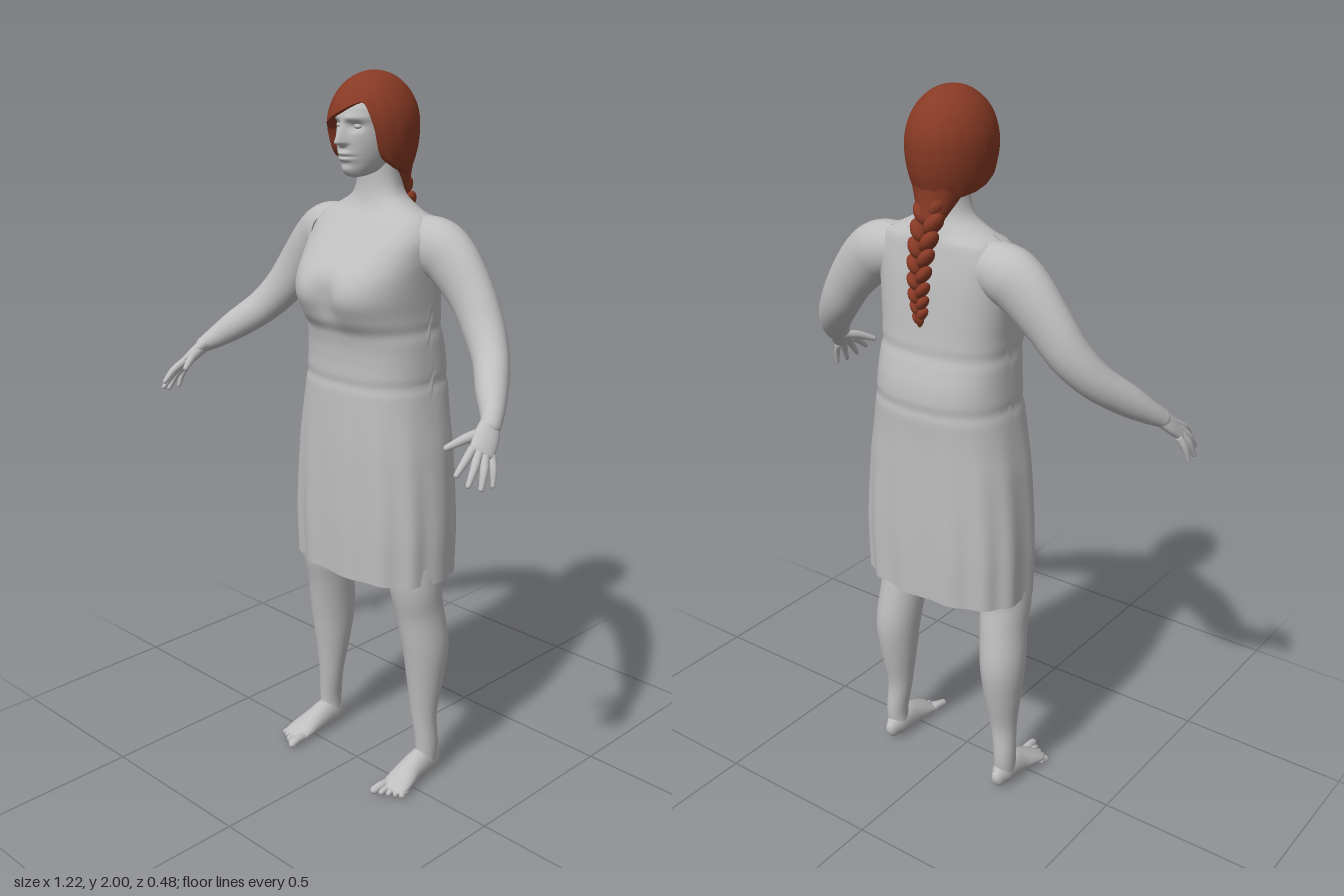
import * as THREE from 'three';

const grey = new THREE.MeshStandardMaterial({ color: 0xbebebe, side: THREE.DoubleSide });
grey.name = 'plain grey';
const auburn = new THREE.MeshStandardMaterial({ color: 0x883a25, side: THREE.DoubleSide });
auburn.name = 'auburn hair';

const bell = (d, w) => Math.exp(-(d * d) / (w * w));
const spow = (v, e) => Math.sign(v) * Math.pow(Math.abs(v), e);

function add(parent, name, geometry, material = grey) {
  const mesh = new THREE.Mesh(geometry, material);
  mesh.name = name;
  parent.add(mesh);
  return mesh;
}

// Smooth interpolation of keys [x, v1, v2, ...]
function sample(keys, x) {
  const n = keys.length;
  x = Math.min(Math.max(x, keys[0][0]), keys[n - 1][0]);
  let i = 0;
  while (i < n - 2 && x > keys[i + 1][0]) i++;
  const p = keys[Math.max(i - 1, 0)], a = keys[i], b = keys[i + 1], q = keys[Math.min(i + 2, n - 1)];
  const h = b[0] - a[0], t = (x - a[0]) / h, t2 = t * t, t3 = t2 * t;
  return a.slice(1).map((av, k) => {
    const bv = b[k + 1];
    const ma = ((bv - p[k + 1]) / (b[0] - p[0])) * h, mb = ((q[k + 1] - av) / (q[0] - a[0])) * h;
    return av * (2 * t3 - 3 * t2 + 1) + ma * (t3 - 2 * t2 + t) + bv * (3 * t2 - 2 * t3) + mb * (t3 - t2);
  });
}

// Closed rings of points joined into a smooth skin; fn(row 0..1, angle) gives [x, y, z]
function skin(fn, rows, segs) {
  const pos = [], idx = [];
  for (let i = 0; i <= rows; i++)
    for (let j = 0; j < segs; j++) pos.push(...fn(i / rows, (j / segs) * Math.PI * 2, i));
  for (let i = 0; i < rows; i++)
    for (let j = 0; j < segs; j++) {
      const k = (j + 1) % segs, a = i * segs + j, b = i * segs + k;
      idx.push(a, b, b + segs, a, b + segs, a + segs);
    }
  const g = new THREE.BufferGeometry();
  g.setAttribute('position', new THREE.Float32BufferAttribute(pos, 3));
  g.setIndex(idx);
  g.computeVertexNormals();
  return g;
}

// Round-ended limb through points [x, y, z, radius along ref, radius across]; side mirrors x
function limb(points, side = 1, ref = [0, 0, 1], steps = 24, segs = 24) {
  const path = new THREE.CatmullRomCurve3(points.map(p => new THREE.Vector3(p[0] * side, p[1], p[2])), false, 'catmullrom');
  const radii = new THREE.CatmullRomCurve3(points.map(p => new THREE.Vector3(p[3], p[4] ?? p[3], 0)), false, 'catmullrom');
  const axis = new THREE.Vector3(ref[0] * side, ref[1], ref[2]);
  const caps = 5, rows = steps + caps * 2;
  const rings = [];
  for (let i = 0; i <= rows; i++) {
    const t = Math.min(Math.max((i - caps) / steps, 0), 1);
    const over = i < caps ? i / caps - 1 : i > rows - caps ? (i - rows + caps) / caps : 0;
    const angle = over * Math.PI / 2, r = radii.getPoint(t), T = path.getTangent(t);
    const N = axis.clone().addScaledVector(T, -axis.dot(T)).normalize();
    const B = new THREE.Vector3().crossVectors(T, N);
    const c = path.getPoint(t).addScaledVector(T, Math.sin(angle) * Math.min(r.x, r.y));
    rings.push({ c, N: N.multiplyScalar(r.x * Math.cos(angle)), B: B.multiplyScalar(r.y * Math.cos(angle)) });
  }
  return skin((u, a, i) => {
    const { c, N, B } = rings[i];
    const p = c.clone().addScaledVector(N, Math.cos(a)).addScaledVector(B, Math.sin(a));
    return [p.x, Math.max(p.y, 0), p.z];
  }, rows, segs);
}

// Torso profile: y, half width, front z, back z
const TORSO = [
  [0.635, 0.243, 0.083, -0.228], [0.8, 0.243, 0.088, -0.233], [1.0, 0.227, 0.087, -0.233],
  [1.1, 0.211, 0.084, -0.233], [1.2, 0.195, 0.08, -0.236], [1.26, 0.19, 0.078, -0.23],
  [1.32, 0.186, 0.085, -0.214], [1.38, 0.183, 0.118, -0.204], [1.43, 0.186, 0.14, -0.199],
  [1.48, 0.19, 0.128, -0.194], [1.54, 0.196, 0.08, -0.187], [1.59, 0.197, 0.035, -0.178],
  [1.63, 0.172, 0.0, -0.171], [1.655, 0.125, -0.018, -0.163], [1.68, 0.082, -0.027, -0.154],
  [1.72, 0.063, -0.032, -0.145], [1.79, 0.06, -0.03, -0.14]];

function torsoPoint(y, a, grow = 0) {
  const [rx, zf, zb] = sample(TORSO, y);
  const e = y > 1.64 ? 1 : 0.82, s = spow(Math.sin(a), e), c = spow(Math.cos(a), e), mid = -0.08;
  // skirt folds and waist creases
  const skirt = Math.min(Math.max((1.15 - y) / 0.4, 0), 1);
  const g = grow + (grow ? skirt * 0.004 * Math.sin(a * 13) - 0.004 * (bell(y - 1.195, 0.012) + bell(y - 1.34, 0.015)) : 0);
  const x = (rx + g) * s;
  let z = mid + c * ((c > 0 ? zf - mid : mid - zb) + g);
  if (c > 0) z -= 0.026 * bell(x, 0.045) * bell(y - 1.43, 0.06);
  return [x, y, z];
}

// Head profile: y, half width, front z, back z
const HEAD = [
  [1.733, 0.002, 0.01, 0.006], [1.738, 0.024, 0.029, -0.03], [1.752, 0.042, 0.038, -0.08],
  [1.775, 0.057, 0.044, -0.12], [1.8, 0.067, 0.05, -0.15], [1.83, 0.074, 0.052, -0.165],
  [1.87, 0.079, 0.05, -0.17], [1.895, 0.08, 0.052, -0.17], [1.92, 0.076, 0.041, -0.165],
  [1.955, 0.055, 0.005, -0.13], [1.975, 0.002, -0.06, -0.065]];

function headPoint(u, a) {
  const y = 1.733 + 0.242 * u, [rx, zf, zb] = sample(HEAD, y), mid = (zf + zb) / 2;
  const x = rx * Math.sin(a), c = Math.cos(a);
  let z = mid + c * (zf - zb) / 2;
  if (c > 0) {
    const ax = Math.abs(x);
    const ramp = y > 1.825 ? Math.max(0, 1 - (y - 1.825) / 0.06) : Math.max(0, 1 - (1.825 - y) / 0.013);
    z += 0.03 * ramp * bell(x, 0.008 + 0.006 * ramp);                              // nose
    z -= 0.012 * bell(ax - 0.032, 0.016) * bell(y - 1.866, 0.012);                 // eye sockets
    z += 0.006 * bell(ax - 0.03, 0.03) * bell(y - 1.886, 0.009);                   // brow
    z += 0.009 * bell(x, 0.022) * (bell(y - 1.797, 0.006) + bell(y - 1.783, 0.007)); // lips
    z -= 0.005 * bell(x, 0.025) * bell(y - 1.79, 0.003);
    z += 0.006 * bell(x, 0.02) * bell(y - 1.755, 0.012);                           // chin
  }
  return [x, y, z];
}

// Lower edge of the hair by angle in degrees, 0 at the front
const HAIRLINE = [[-180, 1.725], [-110, 1.745], [-75, 1.77], [-58, 1.80], [-50, 1.85], [-30, 1.872],
  [0, 1.9], [25, 1.922], [38, 1.92], [50, 1.865], [58, 1.80], [75, 1.77], [110, 1.745], [180, 1.725]];

function hairPoint(u, a) {
  const deg = a > Math.PI ? a * 180 / Math.PI - 360 : a * 180 / Math.PI;
  const v = Math.min((1 - u) / 0.92, 1), rim = sample(HAIRLINE, deg)[0];
  const y = 2 - (2 - rim) * (1 - Math.cos(v * Math.PI / 2));
  let r = y > 1.86 ? Math.sqrt(Math.max(0, 1 - ((y - 1.86) / 0.14) ** 2)) : 1 - 0.25 * ((1.86 - y) / 0.13) ** 2;
  r *= 1 + 0.006 * v * Math.sin(a * 18 + y * 30);
  if (u < 0.08) r *= 0.8 + 0.2 * (u / 0.08);
  return [0.11 * r * Math.sin(a), y, -0.063 + 0.133 * r * Math.cos(a)];
}

const ARM = [[0.13, 1.57, -0.1, 0.06, 0.07], [0.2, 1.56, -0.1, 0.07, 0.078], [0.255, 1.525, -0.1, 0.062, 0.076],
  [0.32, 1.455, -0.095, 0.054, 0.066], [0.375, 1.38, -0.08, 0.052, 0.058], [0.43, 1.315, -0.045, 0.046, 0.05],
  [0.485, 1.26, 0.015, 0.041, 0.043], [0.525, 1.222, 0.06, 0.031, 0.032], [0.548, 1.2, 0.092, 0.026, 0.022]];
const PALM = [[0.54, 1.207, 0.083, 0.025, 0.02], [0.555, 1.18, 0.115, 0.033, 0.017], [0.568, 1.152, 0.148, 0.033, 0.013]];
const FINGERS = [[0.553, 1.16, 0.165, 0.56, 1.112, 0.23], [0.567, 1.15, 0.16, 0.585, 1.088, 0.215],
  [0.577, 1.142, 0.147, 0.6, 1.076, 0.185], [0.583, 1.138, 0.128, 0.604, 1.075, 0.146], [0.54, 1.187, 0.115, 0.5, 1.158, 0.198]];
const LEG = [[0.11, 0.95, -0.07, 0.11, 0.1], [0.15, 0.75, -0.06, 0.095, 0.085], [0.174, 0.62, -0.056, 0.077, 0.073],
  [0.18, 0.53, -0.072, 0.072, 0.066], [0.19, 0.42, -0.088, 0.07, 0.064], [0.191, 0.32, -0.088, 0.057, 0.054],
  [0.193, 0.2, -0.083, 0.038, 0.038], [0.202, 0.1, -0.088, 0.036, 0.031], [0.2, 0.04, -0.085, 0.034, 0.03]];
const FOOT = [[0.2, 0.033, -0.118, 0.02, 0.03], [0.2, 0.04, -0.1, 0.029, 0.04], [0.2, 0.045, -0.065, 0.033, 0.045],
  [0.201, 0.037, -0.02, 0.036, 0.037], [0.205, 0.027, 0.02, 0.042, 0.026], [0.208, 0.018, 0.052, 0.043, 0.017],
  [0.208, 0.014, 0.064, 0.038, 0.012]];

export function createModel() {
  const model = new THREE.Group();
  model.name = 'woman';

  add(model, 'torso', skin((u, a) => torsoPoint(1.3 + 0.49 * u, a), 50, 72));
  // open-bottomed dress with a scooped neckline
  add(model, 'dress', skin((u, a) => {
    const top = (Math.cos(a) > 0 ? 1.545 : 1.59) + 0.06 * Math.sin(a) ** 2;
    return torsoPoint(0.635 + (top - 0.635) * u, a, 0.004);
  }, 90, 120));

  add(model, 'head', skin(headPoint, 80, 112));
  add(model, 'hair', skin(hairPoint, 48, 120), auburn);
  add(model, 'gatheredHair', limb([[0, 1.8, -0.11, 0.075, 0.09], [0, 1.745, -0.128, 0.052, 0.066],
    [0, 1.69, -0.152, 0.03, 0.04]]), auburn);

  // braid of alternating tilted locks
  const braid = new THREE.Group();
  braid.name = 'braid';
  model.add(braid);
  const BRAID = [[0, 1.715, -0.15], [0.35, 1.61, -0.193], [0.7, 1.505, -0.208], [1, 1.435, -0.2]];
  for (let i = 0; i < 16; i++) {
    const side = i % 2 ? 1 : -1, t = i / 15, [y, z] = sample(BRAID, t), w = 1 - 0.5 * t;
    const lock = add(braid, 'braidLock', new THREE.SphereGeometry(1, 18, 12), auburn);
    lock.scale.set(0.021 * w, 0.036 * w, 0.029 * w);
    lock.position.set(side * 0.021 * w, y, z);
    lock.rotation.set(0.25, 0, -side * 0.6);
  }
  add(braid, 'braidTip', limb([[0, 1.45, -0.203, 0.013], [0, 1.43, -0.2, 0.014], [0, 1.405, -0.197, 0.003]], 1, [0, 0, 1], 8, 12), auburn);

  for (const side of [1, -1]) {
    const prefix = side > 0 ? 'left' : 'right';
    const eye = add(model, prefix + 'Eye', new THREE.SphereGeometry(0.011, 18, 12));
    eye.scale.set(1.1, 0.6, 0.8);
    eye.position.set(side * 0.031, 1.866, 0.028);

    add(model, prefix + 'Arm', limb(ARM, side, [0, 0, 1], 40, 32));
    const hand = new THREE.Group();
    hand.name = prefix + 'Hand';
    model.add(hand);
    add(hand, 'palm', limb(PALM, side, [-0.5, 0.3, 0.8], 12));
    FINGERS.forEach(([x, y, z, tx, ty, tz], i) => {
      const r = i === 4 ? 0.0125 : i === 3 ? 0.009 : 0.0105;
      add(hand, i === 4 ? 'thumb' : 'finger', limb([[x, y, z, r * 1.1],
        [(x + tx) / 2 + 0.003, (y + ty) / 2 + 0.004, (z + tz) / 2, r], [tx, ty, tz, r * 0.65]], side, [1, 0, 0], 8, 12));
    });

    add(model, prefix + 'Leg', limb(LEG, side, [0, 0, 1], 40, 32));
    const foot = new THREE.Group();
    foot.name = prefix + 'Foot';
    model.add(foot);
    add(foot, 'sole', limb(FOOT, side, [1, 0, 0], 24, 28));
    for (let i = 0; i < 5; i++) {
      const r = i ? 0.0095 - i * 0.0004 : 0.013, x = 0.178 + i * 0.0165, z = 0.06 - i * 0.004;
      add(foot, 'toe', limb([[x, r + 0.004, z, r], [x - 0.002 + i * 0.001, r + 0.004, z + 0.022, r * 0.95],
        [x - 0.004 + i * 0.002, r, 0.103 - i * 0.01, r * 0.9]], side, [1, 0, 0], 8, 12));
    }
  }
  return model;
}
